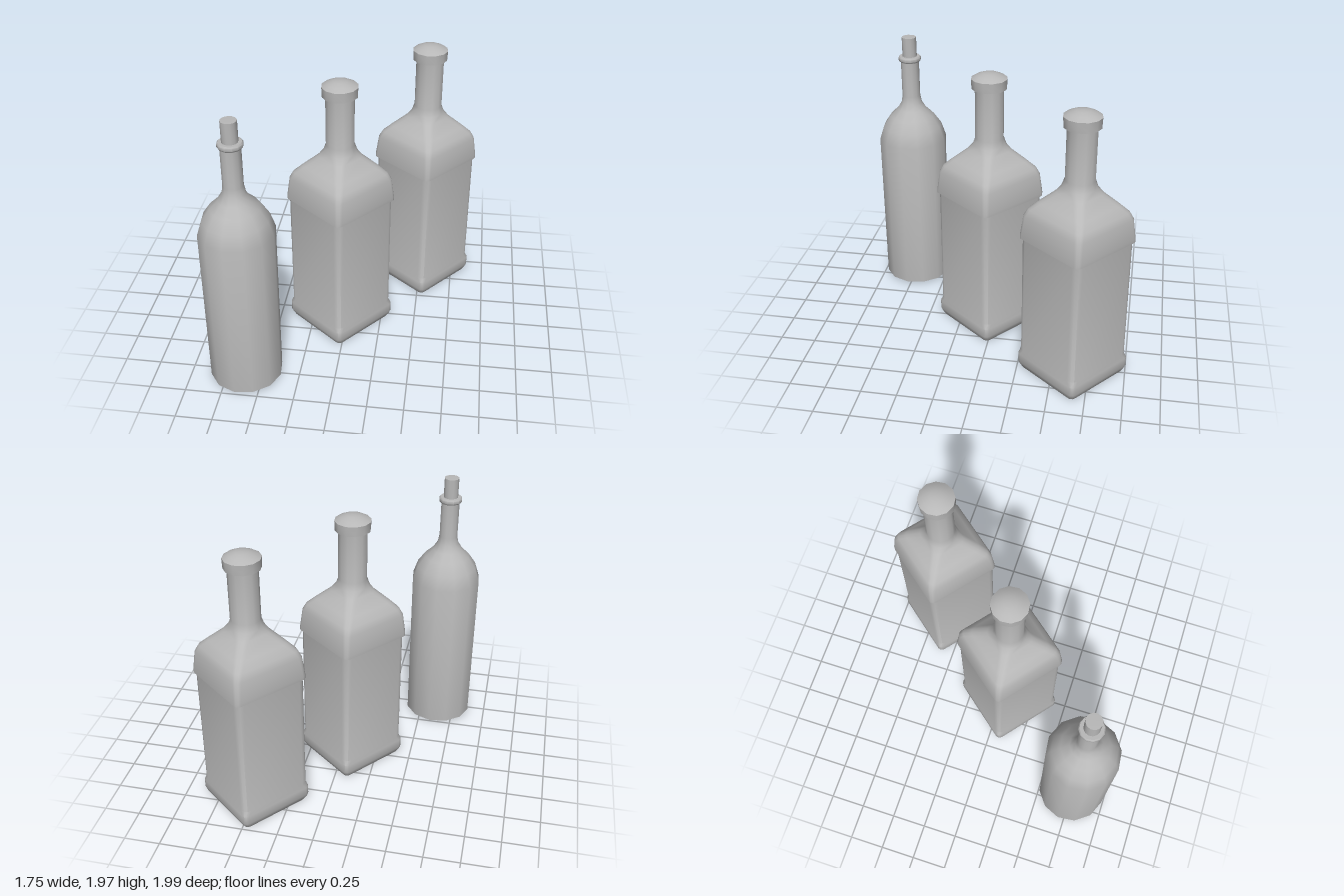
import * as THREE from 'three';
import { toCreasedNormals } from 'three/addons/utils/BufferGeometryUtils.js';

const CREASE = THREE.MathUtils.degToRad(40);
const SIDES = 12;

// Twelve-sided turned part from [radius, y] pairs, bottom to top
function turned(profile) {
  const points = profile.map(([r, y]) => new THREE.Vector2(r, y));
  return toCreasedNormals(new THREE.LatheGeometry(points, SIDES), CREASE);
}

// Loft of rounded squares from [y, half side, corner radius] rings
function roundedSquareLoft(rings) {
  const positions = [];
  const index = [];
  const steps = 3;
  const count = 4 * (steps + 1);
  for (const [y, half, r] of rings) {
    for (let corner = 0; corner < 4; corner++) {
      const mid = (corner + 0.5) * Math.PI / 2;
      const cx = Math.sign(Math.cos(mid)) * (half - r);
      const cz = Math.sign(Math.sin(mid)) * (half - r);
      for (let s = 0; s <= steps; s++) {
        const t = (corner + s / steps) * Math.PI / 2;
        positions.push(cx + r * Math.cos(t), y, cz + r * Math.sin(t));
      }
    }
  }
  for (let k = 0; k < rings.length - 1; k++) {
    for (let i = 0; i < count; i++) {
      const a = k * count + i;
      const b = k * count + (i + 1) % count;
      index.push(a, a + count, b, b, a + count, b + count);
    }
  }
  // Close the underside and the top
  const bottom = positions.length / 3;
  positions.push(0, rings[0][0], 0, 0, rings[rings.length - 1][0], 0);
  const last = (rings.length - 1) * count;
  for (let i = 0; i < count; i++) {
    const j = (i + 1) % count;
    index.push(bottom, i, j, bottom + 1, last + j, last + i);
  }
  const geometry = new THREE.BufferGeometry();
  geometry.setAttribute('position', new THREE.Float32BufferAttribute(positions, 3));
  geometry.setIndex(index);
  return toCreasedNormals(geometry, CREASE);
}

export function createModel() {
  const model = new THREE.Group();
  model.name = 'bottles';
  const grey = new THREE.MeshStandardMaterial({ color: 0xb8b8b8 });
  grey.name = 'grey';

  function add(parent, name, geometry) {
    const mesh = new THREE.Mesh(geometry, grey);
    mesh.name = name;
    parent.add(mesh);
  }

  // Square bottles: raised foot, recessed label panel, sloped shoulder, round neck
  const squareBody = roundedSquareLoft([
    [0, 0.252, 0.03], [0.025, 0.266, 0.035], [0.05, 0.274, 0.035], [0.115, 0.274, 0.035],
    [0.148, 0.266, 0.05], [1.03, 0.266, 0.05],
    [1.035, 0.275, 0.035], [1.06, 0.275, 0.035], [1.2, 0.262, 0.04], [1.25, 0.243, 0.045],
    [1.3, 0.2, 0.05], [1.38, 0.126, 0.06], [1.42, 0.11, 0.09], [1.47, 0.1, 0.1], [1.84, 0.1, 0.1],
  ]);
  const squareCap = turned([
    [0, 1.83], [0.122, 1.83], [0.125, 1.9], [0.09, 1.92], [0.045, 1.935], [0, 1.938],
  ]);
  for (const [name, x, z] of [['middleSquareBottle', -0.052, 0.045], ['backSquareBottle', 0.502, -0.63]]) {
    const bottle = new THREE.Group();
    bottle.name = name;
    bottle.position.set(x, 0, z);
    bottle.rotation.y = THREE.MathUtils.degToRad(50.5);
    add(bottle, 'squareBody', squareBody);
    add(bottle, 'cap', squareCap);
    model.add(bottle);
  }

  // Round bottle with lip ring and cork
  const round = new THREE.Group();
  round.name = 'roundBottle';
  round.position.set(-0.624, 0, 0.742);
  round.rotation.y = THREE.MathUtils.degToRad(-8.5);
  add(round, 'roundBody', turned([
    [0, 0.008], [0.25, 0.012], [0.253, 1.18], [0.22, 1.28], [0.165, 1.36], [0.108, 1.415],
    [0.077, 1.465], [0.067, 1.52], [0.067, 1.82], [0, 1.82],
  ]));
  add(round, 'lipRing', turned([
    [0.06, 1.785], [0.076, 1.787], [0.083, 1.797], [0.083, 1.816], [0.076, 1.825], [0, 1.825],
  ]));
  add(round, 'cork', turned([[0, 1.8], [0.053, 1.8], [0.053, 1.968], [0, 1.97]]));
  model.add(round);

  return model;
}
